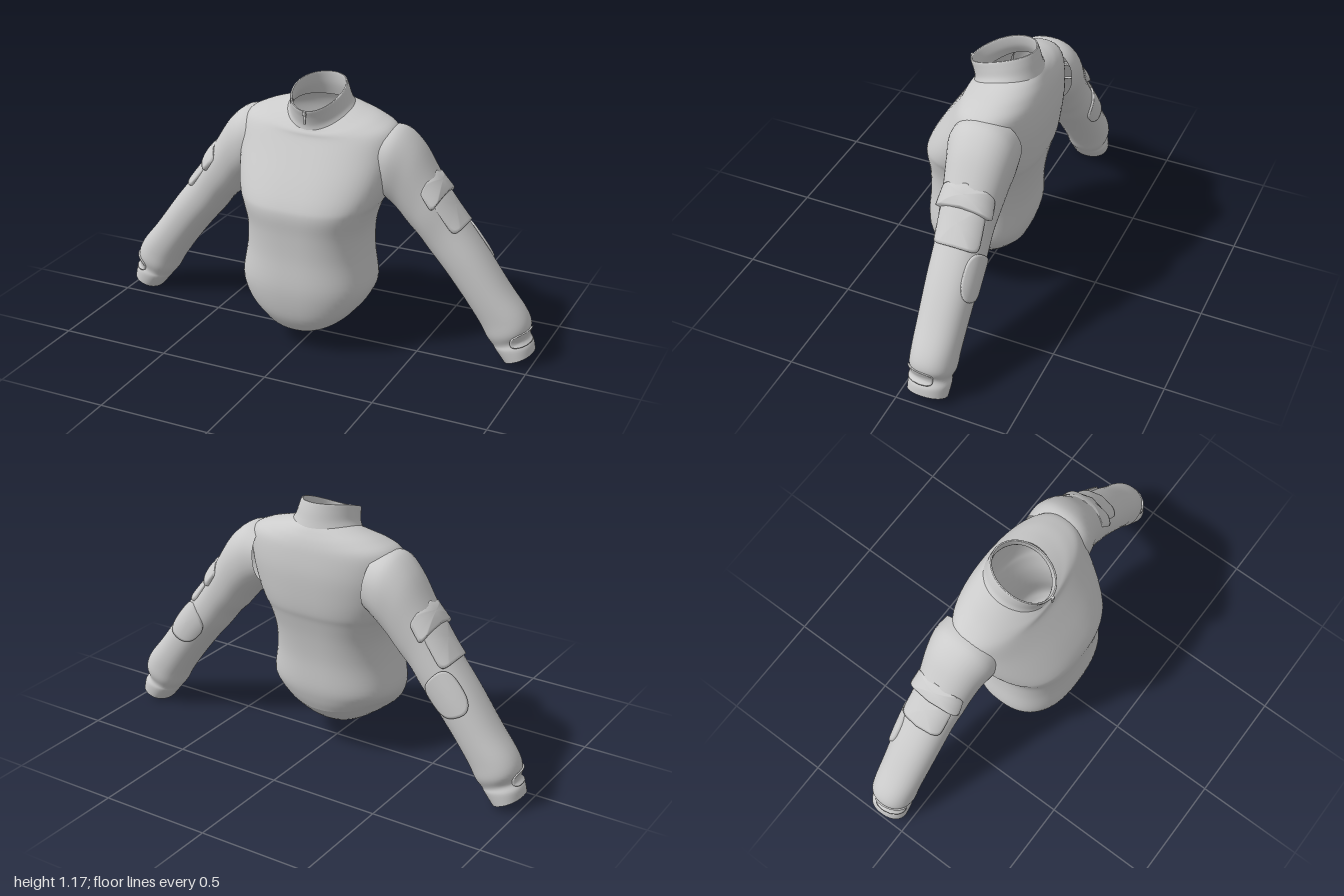
import * as THREE from 'three';

const TAU = Math.PI * 2;
const material = new THREE.MeshStandardMaterial({ color: 0xcccccc, side: THREE.DoubleSide });

// Catmull-Rom blend of a list of section rows at fractional index s
function sample(rows, s) {
  const last = rows.length - 1;
  const i = Math.min(Math.max(Math.floor(s), 0), last - 1), t = s - i;
  const at = k => rows[Math.min(Math.max(k, 0), last)];
  return at(i).map((p1, c) => {
    const p0 = at(i - 1)[c], p2 = at(i + 1)[c], p3 = at(i + 2)[c];
    return 0.5 * (2 * p1 + (p2 - p0) * t + (2 * p0 - 5 * p1 + 4 * p2 - p3) * t * t
      + (3 * p1 - p0 - 3 * p2 + p3) * t * t * t);
  });
}

const power = (v, n) => Math.sign(v) * Math.abs(v) ** (2 / n);

// Closed rings of points fn(u, angle), u in 0..1, joined into a smooth skin
function skin(name, rings, sides, fn, flip = false) {
  const pos = [], index = [];
  for (let i = 0; i <= rings; i++)
    for (let j = 0; j < sides; j++) pos.push(...fn(i / rings, (j / sides) * TAU));
  for (let i = 0; i < rings; i++)
    for (let j = 0; j < sides; j++) {
      const k = (j + 1) % sides;
      const a = i * sides + j, b = i * sides + k, c = a + sides, d = b + sides;
      if (flip) index.push(a, c, b, b, c, d);
      else index.push(a, b, c, b, d, c);
    }
  const g = new THREE.BufferGeometry();
  g.setAttribute('position', new THREE.Float32BufferAttribute(pos, 3));
  g.setIndex(index);
  g.computeVertexNormals();
  const mesh = new THREE.Mesh(g, material);
  mesh.name = name;
  return mesh;
}

// Body rows: front y, back y, half width, front z, back z, squareness, side lift
const BODY = [
  [0.095, 0.2, 0.255, 0.205, -0.16, 2.3, 0.08],
  [0.17, 0.25, 0.285, 0.245, -0.18, 2.4, 0.05],
  [0.3, 0.32, 0.3, 0.266, -0.195, 2.5, 0.01],
  [0.45, 0.45, 0.28, 0.26, -0.2, 2.5, 0],
  [0.56, 0.56, 0.275, 0.262, -0.215, 2.6, 0],
  [0.65, 0.65, 0.295, 0.268, -0.235, 2.7, 0],
  [0.7, 0.7, 0.32, 0.255, -0.25, 2.6, 0],
  [0.78, 0.78, 0.345, 0.21, -0.26, 2.5, 0],
  [0.88, 0.88, 0.36, 0.145, -0.265, 2.4, 0.01],
  [0.95, 0.97, 0.35, 0.1, -0.257, 2.3, 0.03],
  [0.975, 1.02, 0.28, 0.09, -0.245, 2.2, 0.035],
  [0.985, 1.055, 0.2, 0.083, -0.228, 2.1, 0.035],
  [0.99, 1.075, 0.145, 0.08, -0.215, 2, 0.035],
];

// Collar: up the outside, over the rim and down the lining
const COLLAR = [
  [0.985, 1.07, 0.15, 0.08, -0.217, 2, 0.035],
  [1.01, 1.1, 0.135, 0.08, -0.209, 2, 0.03],
  [1.045, 1.14, 0.126, 0.09, -0.2, 2, 0.022],
  [1.075, 1.172, 0.119, 0.102, -0.191, 2, 0.016],
  [1.08, 1.176, 0.114, 0.098, -0.187, 2, 0.016],
  [1.074, 1.17, 0.109, 0.092, -0.182, 2, 0.016],
  [1.03, 1.12, 0.115, 0.077, -0.188, 2, 0.02],
  [0.985, 1.065, 0.135, 0.07, -0.205, 2, 0.03],
];

function bodyPoint(rows, s, a) {
  const [yF, yB, w, zF, zB, n, lift] = sample(rows, s);
  const sx = power(Math.sin(a), n), cz = power(Math.cos(a), n);
  return [w * sx,
    THREE.MathUtils.lerp(yB, yF, (cz + 1) / 2) + lift * sx * sx,
    (zF + zB) / 2 + ((zF - zB) / 2) * cz];
}

// Sleeve rows: outer x, outer y, inner x, inner y, front z, back z
const SLEEVE = [
  [0.29, 1.0, 0.26, 0.74, 0.05, -0.245],
  [0.37, 1.0, 0.32, 0.69, 0.055, -0.253],
  [0.45, 0.935, 0.37, 0.64, 0.035, -0.246],
  [0.52, 0.83, 0.42, 0.58, 0.02, -0.235],
  [0.575, 0.74, 0.47, 0.53, 0.012, -0.228],
  [0.65, 0.63, 0.52, 0.465, 0, -0.227],
  [0.76, 0.49, 0.59, 0.385, -0.005, -0.226],
  [0.87, 0.34, 0.68, 0.27, -0.012, -0.222],
  [0.95, 0.24, 0.75, 0.17, -0.018, -0.22],
  [0.975, 0.18, 0.785, 0.11, -0.02, -0.218],
  [0.965, 0.13, 0.815, 0.075, -0.032, -0.203],
  [0.99, 0.1, 0.828, 0.058, -0.026, -0.208],
  [0.998, 0.06, 0.872, 0.005, -0.028, -0.205],
];

// Angle 0 is the front of the sleeve, a quarter turn is its outer side
function sleevePoint(s, a, off = 0) {
  const [ox, oy, ix, iy, zF, zB] = sample(SLEEVE, s);
  const len = Math.hypot(ox - ix, oy - iy);
  const p = (1 + (2 * off) / len) * power(Math.sin(a), 2.2) / 2;
  return [(ox + ix) / 2 + (ox - ix) * p, (oy + iy) / 2 + (oy - iy) * p,
    (zF + zB) / 2 + ((zF - zB) / 2 + off) * power(Math.cos(a), 2.2)];
}

function sleeve(side) {
  const group = new THREE.Group();
  group.name = side > 0 ? 'leftSleeve' : 'rightSleeve';
  const add = (name, rings, sides, fn) => group.add(
    skin(name, rings, sides, (u, a) => { const [x, y, z] = fn(u, a); return [x * side, y, z]; }, side > 0));

  const end = SLEEVE.length - 1;
  add('sleeve', 60, 40, (u, a) => sleevePoint(u * end, a));

  // Shallow recess closing the wrist
  const wrist = [0.927, 0.047, -0.117];
  add('wristOpening', 6, 40, (u, a) => {
    const r = 1 - u;
    return sleevePoint(end, a).map((v, k) => THREE.MathUtils.lerp(wrist[k], v, r));
  });
  group.children[1].geometry.index.array.reverse();
  group.children[1].geometry.computeVertexNormals();

  // Raised patch that hugs the sleeve, with a thin turned-down edge
  const patch = (name, s, ds, a, da, n, height) => add(name, 10, 48, (u, t) => {
    const r = Math.min(u / 0.9, 1);
    const cs = power(Math.cos(t), n) * r;
    return sleevePoint(s + ds * cs, a + da * r * power(Math.sin(t), n), u > 0.95 ? -0.006 : height(cs));
  });
  const quarter = Math.PI / 2;
  patch('pocketFlap', 3.55, 0.5, quarter, 1.15, 9, c => 0.012 + 0.009 * c);
  patch('pocket', 4.55, 0.65, quarter, 0.95, 7, c => 0.007 + 0.005 * c);
  patch('elbowPad', 5.75, 0.62, Math.PI * 0.93, 0.75, 2.6, () => 0.009);
  patch('cuffTab', 9.9, 0.75, quarter * 0.72, 0.85, 4, () => 0.008);
  return group;
}

export function createModel() {
  const model = new THREE.Group();
  model.name = 'jacket';

  model.add(skin('torso', 60, 64, (u, a) => bodyPoint(BODY, u * (BODY.length - 1), a)));
  model.add(skin('collar', 35, 56, (u, a) => bodyPoint(COLLAR, u * (COLLAR.length - 1), a)));

  // Underside bulging gently below the hem
  model.add(skin('hemUnderside', 8, 64, (u, a) => {
    const [x, y, z] = bodyPoint(BODY, 0, a);
    return [x * u, THREE.MathUtils.lerp(0.087, y, u * u), THREE.MathUtils.lerp(0.03, z, u)];
  }));

  model.add(sleeve(1), sleeve(-1));

  // Zip slider and hanging pull at the throat
  const zip = new THREE.Group();
  zip.name = 'zipPull';
  const slider = new THREE.Mesh(new THREE.BoxGeometry(0.014, 0.018, 0.012), material);
  slider.position.set(0, 1.07, 0.104);
  const pull = new THREE.Mesh(new THREE.BoxGeometry(0.008, 0.045, 0.004), material);
  pull.position.set(0, 1.045, 0.1);
  pull.rotation.x = -0.15;
  zip.add(slider, pull);
  model.add(zip);

  return model;
}
